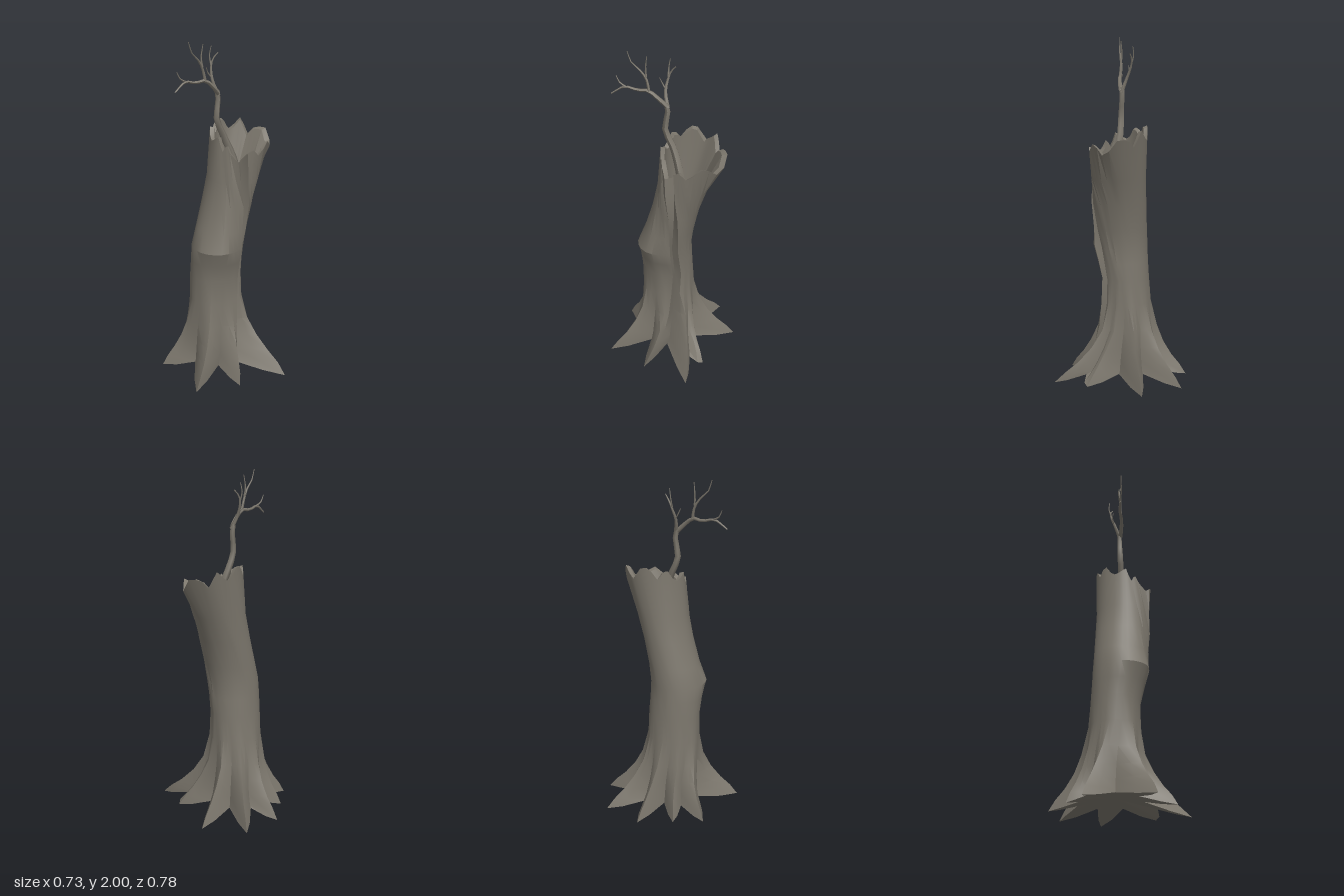
import * as THREE from 'three';
import { toCreasedNormals } from 'three/addons/utils/BufferGeometryUtils.js';

const bark = new THREE.MeshStandardMaterial({ color: 0x7b766c });
bark.name = 'greyBark';

const RAD = Math.PI / 180;
const { lerp, clamp, smoothstep } = THREE.MathUtils;

let seed = 7;
const rand = () => {
  seed = (seed * 16807) % 2147483647;
  return seed / 2147483647 * 2 - 1;
};

// Piecewise linear lookup: rows of [y, values...]
function lookup(rows, y) {
  let i = 0;
  while (i < rows.length - 2 && y > rows[i + 1][0]) i++;
  const a = rows[i], b = rows[i + 1];
  const t = clamp((y - a[0]) / (b[0] - a[0]), 0, 1);
  return a.map((v, k) => lerp(v, b[k], t));
}

// Leaning trunk: y, centre x, centre z, radius x, radius z, drift of the front crack in degrees
const TRUNK = [
  [0, -0.03, -0.03, 0.14, 0.13, 0],
  [0.3, -0.04, -0.035, 0.155, 0.145, -20],
  [0.6, -0.045, -0.025, 0.153, 0.14, -30],
  [0.8, -0.047, 0, 0.149, 0.154, -28],
  [1.0, 0, 0.005, 0.134, 0.155, -12],
  [1.2, 0.055, 0.015, 0.145, 0.159, 19],
  [1.35, 0.095, 0.015, 0.166, 0.166, 35],
  [1.5, 0.115, 0.015, 0.183, 0.168, 40],
];

// How strongly the roots flare at each height
const FLARE = [[0, 1], [0.015, 1], [0.06, 0.83], [0.12, 0.6], [0.2, 0.36], [0.3, 0.15], [0.47, 0]];

// Roots: direction in degrees, length, reach of the valley that follows
const ROOTS = [
  [-14, 0.41, 0.17], [40, 0.34, 0.29], [65, 0.46, 0.15], [105, 0.35, 0.165], [145, 0.41, 0.18],
  [206, 0.34, 0.19], [238, 0.29, 0.16], [274, 0.36, 0.215], [309, 0.42, 0.19],
];
const GROOVE = 10; // column of the deep front crack
const GROOVE_ANGLE = 86;

// Four columns per root: tip, flank, valley, flank; each also has an even angle for the trunk
function rootColumns() {
  const star = [];
  const polar = (deg, r) => new THREE.Vector2(Math.cos(deg * RAD) * r, Math.sin(deg * RAD) * r);
  const flank = (a, b) => a.clone().lerp(b, 0.5).multiplyScalar(1.06);
  ROOTS.forEach(([deg, len, valley], i) => {
    const next = ROOTS[(i + 1) % ROOTS.length];
    const nextDeg = next[0] + (i === ROOTS.length - 1 ? 360 : 0);
    const tip = polar(deg, len), low = polar((deg + nextDeg) / 2, valley);
    star.push(tip, flank(tip, low), low, flank(polar(nextDeg, next[1]), low));
  });
  return star.map((p, j) => {
    const even = -14 + j * 10;
    const turn = p.angle() / RAD - even;
    return { even, root: even + turn - 360 * Math.round(turn / 360), reach: p.length(), lift: [0, 0.015, 0.045, 0.015][j % 4] };
  });
}

function buildTrunk() {
  const cols = rootColumns(), n = cols.length;
  const pos = [], index = [];

  // One point on column j at height y, pulled towards the axis by scale
  const addPoint = (j, y, scale, rough) => {
    const col = cols[j];
    const [, cx, cz, rx, rz, drift] = lookup(TRUNK, y);
    const near = 0.5 + 0.5 * Math.cos(Math.PI * Math.min(1, Math.abs(col.even - GROOVE_ANGLE) / 110));
    const a = (lerp(col.root, col.even, smoothstep(y, 0.12, 0.5)) + drift * near) * RAD;
    const flare = lookup(FLARE, y)[1];
    let k = scale * (1 + rough * (0.35 + near) * rand());
    // Crack with one raised edge
    if (y > 0.15 && j === GROOVE) k *= 0.7;
    if (y > 0.15 && j === GROOVE + 1) k *= 1.05;
    // Knot and overhang on the front right side
    const side = Math.max(0, Math.cos(a - 135 * RAD));
    k *= 1 + 0.17 * side * side * Math.max(0, 1 - Math.abs(y - 0.79) / 0.14);
    // Pointed lip on the left of the rim
    if (y > 1.3) k *= 1 + 0.18 * Math.max(0, Math.cos(a - 12 * RAD)) ** 16;
    const body = new THREE.Vector2(Math.cos(a) * rx * k, Math.sin(a) * rz * k);
    body.lerp(new THREE.Vector2(Math.cos(a), Math.sin(a)).multiplyScalar(col.reach), flare);
    pos.push(cx + body.x, y === 0 ? col.lift : y, cz + body.y);
  };

  // Jagged rim, lower at the front and lowest at the crack
  const JAGS = [0.035, 0.02, -0.015, -0.03, 0, 0.03, 0.005, -0.03, 0.01];
  const rim = cols.map(({ even }, j) => {
    const a = even * RAD;
    const crack = Math.max(0, 1 - Math.abs(j - GROOVE) / 2) * 0.07;
    return 1.415 - 0.05 * Math.sin(a) - 0.01 * Math.cos(a) + JAGS[j % 9] + rand() * 0.012 - crack;
  });

  let rings = 0;
  const addRing = (heightOf, scale, rough) => {
    for (let j = 0; j < n; j++) addPoint(j, heightOf(j), scale, rough);
    rings++;
  };
  [0, 0.06, 0.12, 0.2, 0.3, 0.45, 0.6, 0.7, 0.79, 0.9, 1.05, 1.2]
    .forEach((y) => addRing(() => y, 1, y > 0.2 ? 0.025 : 0));
  addRing((j) => rim[j], 1, 0.02);
  // Hollow inside
  addRing((j) => rim[j] - 0.008, 0.86, 0.02);
  addRing(() => 1.2, 0.75, 0);
  addRing(() => 1.0, 0.5, 0);

  for (let i = 0; i < rings - 1; i++) {
    for (let j = 0; j < n; j++) {
      const a = i * n + j, b = i * n + (j + 1) % n;
      index.push(a, a + n, b + n, a, b + n, b);
    }
  }
  // Underside and floor of the hollow
  const under = pos.length / 3;
  pos.push(-0.03, 0.06, -0.03, 0, 0.92, 0);
  const last = (rings - 1) * n;
  for (let j = 0; j < n; j++) {
    const k = (j + 1) % n;
    index.push(under, j, k, under + 1, last + k, last + j);
  }

  const geo = new THREE.BufferGeometry();
  geo.setAttribute('position', new THREE.Float32BufferAttribute(pos, 3));
  geo.setIndex(index);
  return toCreasedNormals(geo, 0.5);
}

// Tapered, bent twig through a few points
function buildTwig(points, r0, r1) {
  const path = new THREE.CatmullRomCurve3(points.map((p) => new THREE.Vector3(...p)));
  const steps = (points.length - 1) * 2, sides = 5;
  const geo = new THREE.TubeGeometry(path, steps, 1, sides, false);
  const p = geo.attributes.position, v = new THREE.Vector3();
  for (let i = 0; i <= steps; i++) {
    const c = path.getPointAt(i / steps), r = lerp(r0, r1, i / steps);
    for (let j = 0; j <= sides; j++) {
      const k = i * (sides + 1) + j;
      v.fromBufferAttribute(p, k).sub(c).multiplyScalar(r).add(c);
      p.setXYZ(k, v.x, v.y, v.z);
    }
  }
  geo.computeVertexNormals();
  return geo;
}

const TWIGS = [
  ['branchStem', 0.026, 0.014, [[0.06, 1.2, 0.05], [0.04, 1.31, 0.035], [0, 1.43, 0.005], [-0.05, 1.55, 0], [-0.035, 1.65, -0.005], [-0.045, 1.71, -0.005]]],
  ['rightLimb', 0.014, 0.004, [[-0.04, 1.69, 0], [-0.09, 1.74, 0.01], [-0.14, 1.775, 0.01], [-0.2, 1.77, 0.005], [-0.27, 1.785, 0.01], [-0.345, 1.74, 0.02]]],
  ['rightTwig', 0.006, 0.002, [[-0.265, 1.785, 0.01], [-0.3, 1.805, 0.005], [-0.32, 1.845, 0.002]]],
  ['upperTwig', 0.009, 0.002, [[-0.135, 1.77, 0.01], [-0.15, 1.84, 0.005], [-0.19, 1.9, 0.012], [-0.225, 1.93, 0.015], [-0.25, 1.998, 0.015]]],
  ['upperTwigFork', 0.006, 0.002, [[-0.15, 1.85, 0.005], [-0.155, 1.9, 0], [-0.145, 1.975, 0.005]]],
  ['leftLimb', 0.012, 0.003, [[-0.035, 1.68, 0], [-0.055, 1.76, -0.03], [-0.045, 1.83, -0.055], [-0.03, 1.87, -0.06], [0, 1.905, -0.05]]],
  ['leftTwig', 0.005, 0.002, [[-0.045, 1.84, -0.055], [-0.045, 1.89, -0.07], [-0.035, 1.945, -0.065]]],
  ['innerTwig', 0.005, 0.002, [[-0.053, 1.77, -0.035], [-0.075, 1.8, -0.045], [-0.09, 1.835, -0.04]]],
];

export function createModel() {
  const model = new THREE.Group();
  model.name = 'brokenTreeStump';

  const trunk = new THREE.Mesh(buildTrunk(), bark);
  trunk.name = 'trunkAndRoots';
  model.add(trunk);

  const branch = new THREE.Group();
  branch.name = 'deadBranch';
  for (const [name, r0, r1, points] of TWIGS) {
    const twig = new THREE.Mesh(buildTwig(points, r0, r1), bark);
    twig.name = name;
    branch.add(twig);
  }
  model.add(branch);
  return model;
}
